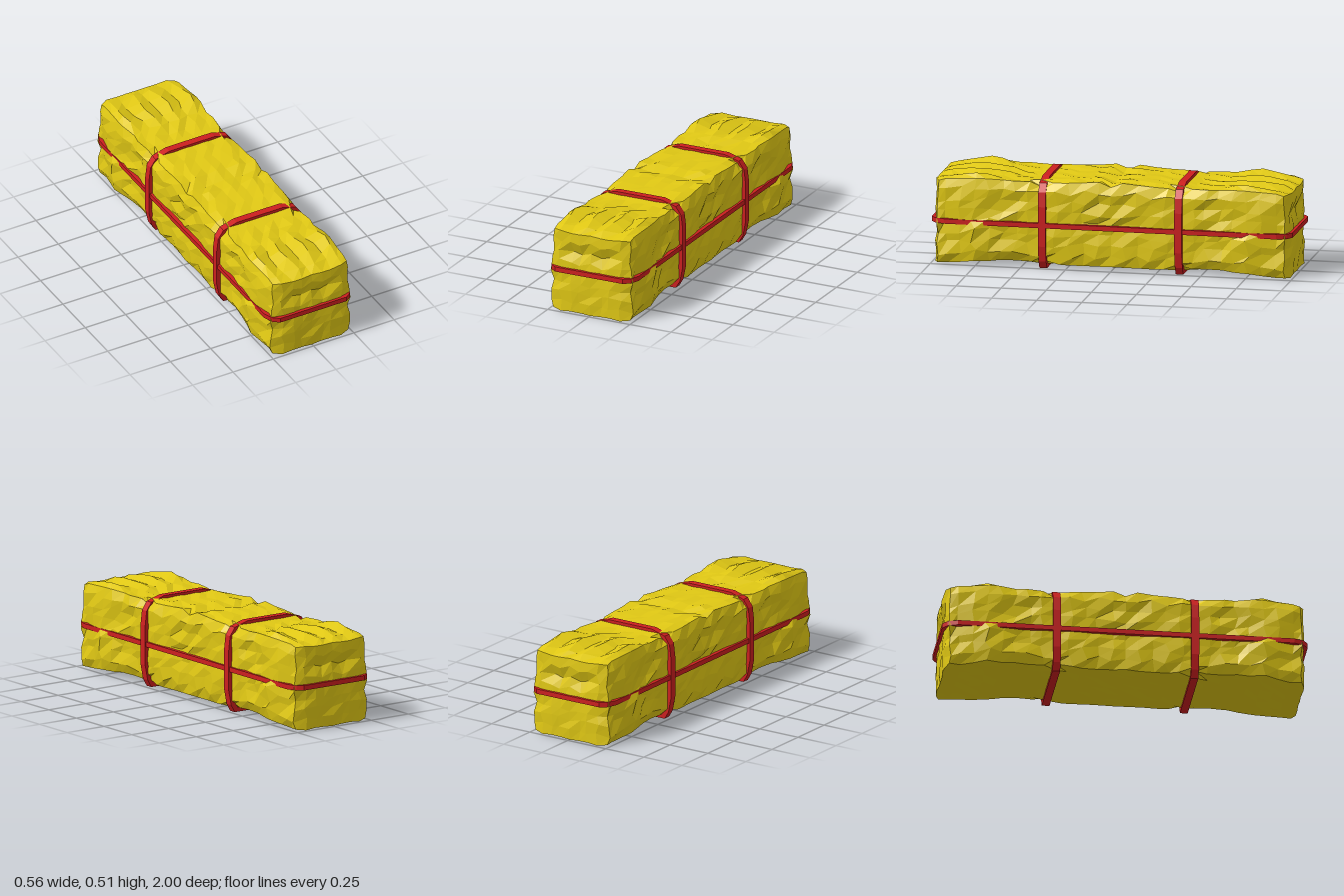
import * as THREE from 'three';

// Lengthwise profile from the middle to the end: [z, top, bottom, half width]
const PROFILE = [
  [0.00, 0.478, 0.022, 0.246], [0.08, 0.495, 0.022, 0.243], [0.23, 0.490, 0.024, 0.250],
  [0.38, 0.485, 0.016, 0.246], [0.53, 0.478, 0.028, 0.240], [0.66, 0.492, 0.032, 0.246],
  [0.76, 0.498, 0.026, 0.262], [0.91, 0.484, 0.010, 0.246], [0.99, 0.466, 0.006, 0.238],
];

function profileAt(z) {
  let i = 0;
  while (i < PROFILE.length - 2 && PROFILE[i + 1][0] < z) i++;
  const a = PROFILE[i], b = PROFILE[i + 1];
  const t = THREE.MathUtils.clamp((z - a[0]) / (b[0] - a[0]), 0, 1);
  return [1, 2, 3].map((k) => a[k] + (b[k] - a[k]) * t);
}

// Repeatable noise in -1..1
function noise(a, b, c, seed) {
  const s = Math.sin(a * 127.1 + b * 311.7 + c * 74.7 + seed * 53.3) * 43758.5453;
  return (s - Math.floor(s)) * 2 - 1;
}

const bump = (d, width) => Math.exp(-(d * d) / (width * width));

// Crumpled wrapping: a divided box pushed into shape, the same in all four quarters
function wrapping() {
  const geo = new THREE.BoxGeometry(2, 2, 2, 8, 8, 26);
  const p = geo.attributes.position;
  for (let i = 0; i < p.count; i++) {
    const u = Math.abs(p.getX(i)), v = p.getY(i), w = Math.abs(p.getZ(i));
    const sx = Math.abs(p.getX(i)) < 1e-6 ? 0 : Math.sign(p.getX(i));
    const sz = Math.abs(p.getZ(i)) < 1e-6 ? 0 : Math.sign(p.getZ(i));
    const a = Math.round(u * 4), b = Math.round(v * 4), c = Math.round(w * 13);
    let z = w * 0.985;
    const [top, bottom, half] = profileAt(z);
    let x = u * half;
    let y = bottom + (top - bottom) * (v + 1) / 2;
    const atEnd = w > 0.99, atSide = u > 0.99, atTop = v > 0.99, atBase = v < -0.99;
    const nearStrap = bump(z - 0.38, 0.06);

    // Long edges are softened, most of all beneath the straps
    if (atSide && (atTop || atBase)) {
      x -= 0.012 + 0.018 * nearStrap;
      y += (atTop ? -1 : 1) * (0.004 + 0.025 * nearStrap);
    }
    // Creases in each kind of face
    const calm = 1 - 0.6 * nearStrap;
    if (atSide) {
      x += 0.011 * noise(a, b, c, 1) * calm;
      x += 0.028 * bump(z - 0.75, 0.05) * bump(y - 0.18, 0.06);
    }
    if (atTop) {
      y += 0.008 * noise(a, b, c, 2) * calm;
      y += 0.017 * Math.cos((x - 0.06) * Math.PI / 0.07) * bump(z - 0.78, 0.12);
    }
    if (atBase) y += 0.005 * noise(a, b, c, 3);
    if (atEnd) {
      z -= 0.022 * Math.pow(u, 6) + 0.008 * Math.max(0, v);
      z += 0.006 * noise(a, b, c, 4);
      if (a === 0 && atBase) y = 0.003;
      if (u < 0.6) z += 0.012 * bump(y - 0.43, 0.03) - 0.018 * bump(y - 0.36, 0.03);
    }
    // Slide the grid around so the facets look irregular
    if (!atEnd && c > 0) z += 0.016 * noise(a, b, c, 5);
    if (!atSide && a > 0) x += 0.014 * noise(a, b, c, 6);
    if (!atTop && !atBase) y += 0.016 * noise(a, b, c, 7);
    p.setXYZ(i, sx * x, Math.max(y, 0.003), sz * z);
  }
  geo.computeVertexNormals();
  return geo;
}

// Flat loop extruded to the strap width, centred on the extrusion axis
function strapLoop(outline, inset, width) {
  const pts = outline.map(([x, y]) => new THREE.Vector2(x, y));
  const box = new THREE.Box2().setFromPoints(pts);
  const mid = box.getCenter(new THREE.Vector2()), size = box.getSize(new THREE.Vector2());
  const shape = new THREE.Shape(pts);
  shape.holes.push(new THREE.Path(pts.map((q) => new THREE.Vector2(
    mid.x + (q.x - mid.x) * (1 - 2 * inset / size.x),
    mid.y + (q.y - mid.y) * (1 - 2 * inset / size.y)))));
  const geo = new THREE.ExtrudeGeometry(shape, { depth: width, bevelEnabled: false });
  return geo.translate(0, 0, -width / 2);
}

// Complete an outline from its right half, listed bottom to top
const mirrored = (half) => [...half, ...half.slice().reverse().map(([x, y]) => [-x, y])];

export function createModel() {
  const group = new THREE.Group();
  const yellow = new THREE.MeshStandardMaterial({ color: 0xe0c814, flatShading: true });
  const red = new THREE.MeshStandardMaterial({ color: 0xcc1f1f, flatShading: true });
  const add = (name, geo, mat) => {
    const mesh = new THREE.Mesh(geo, mat);
    mesh.name = name;
    group.add(mesh);
    return mesh;
  };

  add('wrapping', wrapping(), yellow);

  // Long strap around the sides and ends
  const long = strapLoop(mirrored([
    [0.205, -1], [0.24, -0.975], [0.262, -0.92], [0.262, 0.92], [0.24, 0.975], [0.205, 1],
  ]), 0.022, 0.027);
  add('longStrap', long.rotateX(Math.PI / 2), red).position.y = 0.245;

  // Two cross straps around the girth
  const girth = mirrored([
    [0.225, 0.003], [0.25, 0.045], [0.267, 0.13], [0.267, 0.35],
    [0.257, 0.43], [0.225, 0.475], [0.14, 0.5],
  ]);
  for (const side of [1, -1]) {
    const strap = add(side > 0 ? 'frontCrossStrap' : 'backCrossStrap', strapLoop(girth, 0.024, 0.042), red);
    strap.position.z = side * 0.378;
  }
  return group;
}
